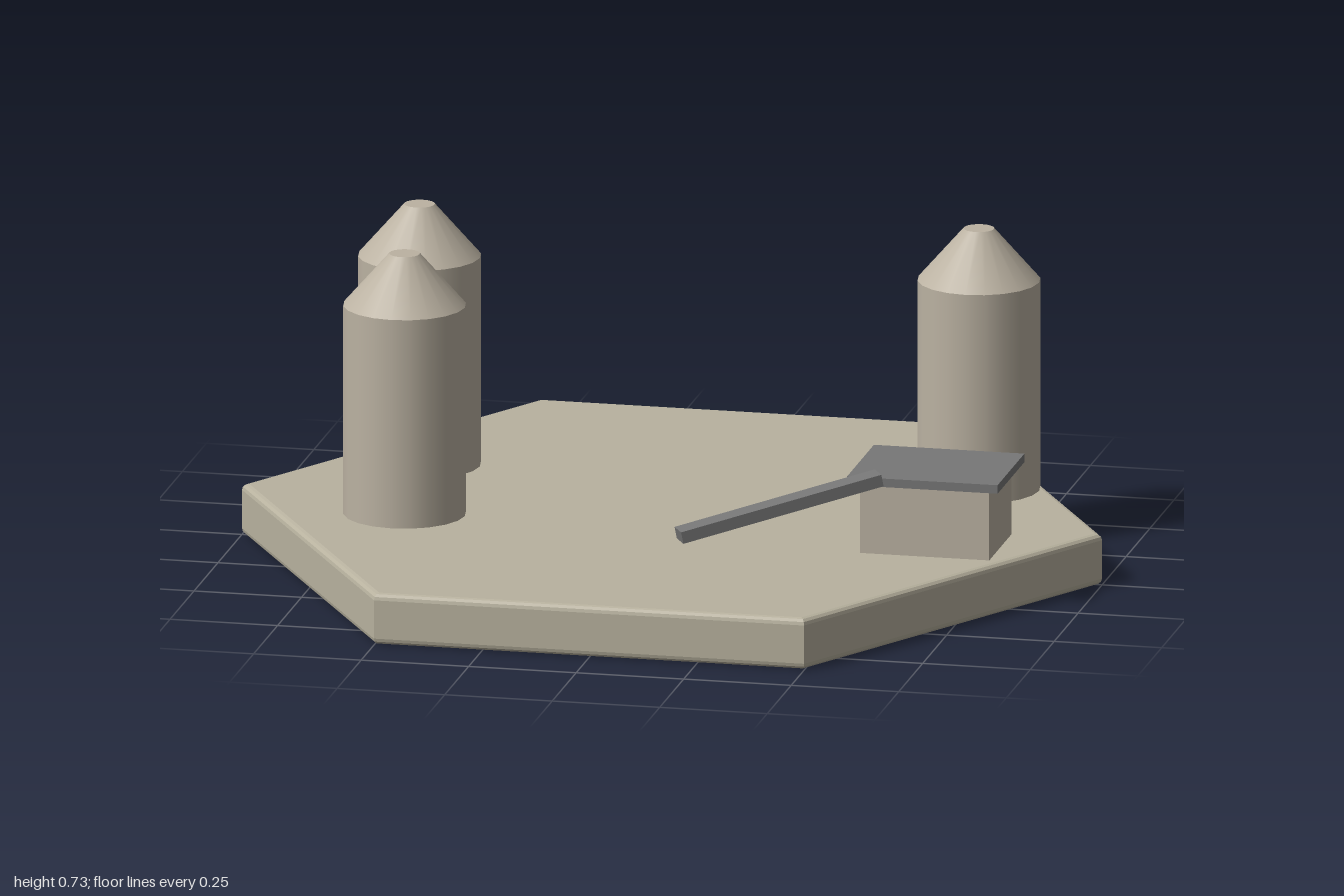
import * as THREE from 'three';

const paint = (name, color) => {
  const m = new THREE.MeshStandardMaterial({ color });
  m.name = name;
  return m;
};

export function createModel() {
  const slabColor = paint('stone', 0xb8b29f);
  const wallColor = paint('warm beige', 0xbbb2a2);
  const metal = paint('dark grey', 0x777777);

  const model = new THREE.Group();
  model.name = 'hexTileWithTanks';
  const add = (name, geometry, material, x, y, z, parent = model) => {
    const mesh = new THREE.Mesh(geometry, material);
    mesh.name = name;
    mesh.position.set(x, y, z);
    parent.add(mesh);
    return mesh;
  };

  // Hexagonal slab with softened edges
  const bevel = 0.015, height = 0.12;
  const radius = 1 - bevel / Math.cos(Math.PI / 6);
  const corners = [];
  for (let i = 0; i < 6; i++) {
    const a = i * Math.PI / 3;
    corners.push(new THREE.Vector2(radius * Math.cos(a), radius * Math.sin(a)));
  }
  const slab = new THREE.ExtrudeGeometry(new THREE.Shape(corners), {
    depth: height - 2 * bevel, bevelEnabled: true,
    bevelSize: bevel, bevelThickness: bevel, bevelSegments: 3,
  });
  slab.rotateX(-Math.PI / 2);
  add('baseSlab', slab, slabColor, 0, bevel, 0);

  // Three storage tanks with truncated cone tops
  const bodyGeo = new THREE.CylinderGeometry(0.14, 0.14, 0.49, 20);
  const coneGeo = new THREE.CylinderGeometry(0.035, 0.14, 0.12, 20);
  for (const [x, z] of [[-0.645, -0.26], [-0.585, 0.165], [0.64, -0.33]]) {
    const tank = new THREE.Group();
    tank.name = 'tank';
    tank.position.set(x, height, z);
    model.add(tank);
    add('tankBody', bodyGeo, wallColor, 0, 0.245, 0, tank);
    add('tankCone', coneGeo, wallColor, 0, 0.55, 0, tank);
  }

  // Small hut with an overhanging flat roof
  add('hutWalls', new THREE.BoxGeometry(0.3, 0.165, 0.23), wallColor, 0.65, 0.2025, 0.165);
  add('hutRoof', new THREE.BoxGeometry(0.35, 0.02, 0.28), metal, 0.65, 0.295, 0.165);

  // Sloping chute leading away from the hut
  const chute = add('chute', new THREE.BoxGeometry(0.486, 0.028, 0.05), metal, 0.347, 0.2625, 0.44);
  chute.rotation.set(0, Math.PI / 6, 0.2, 'YZX');

  return model;
}
